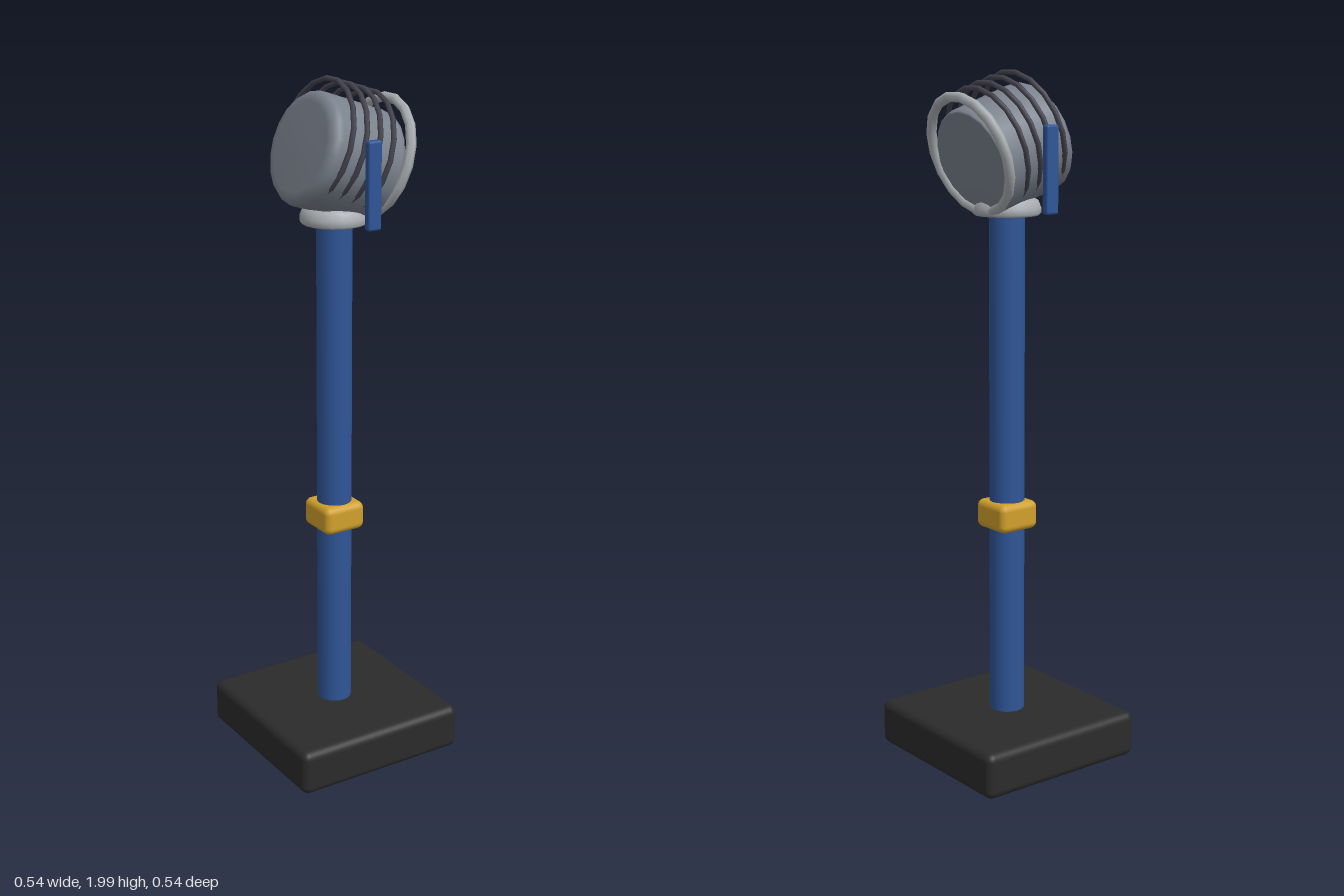
import * as THREE from 'three';
import { RoundedBoxGeometry } from 'three/addons/geometries/RoundedBoxGeometry.js';

const paint = (name, color) => {
  const m = new THREE.MeshStandardMaterial({ color });
  m.name = name;
  return m;
};

export function createModel() {
  const black = paint('matte black', 0x2b2b2b);
  const blue = paint('blue', 0x2f5597);
  const yellow = paint('yellow', 0xd0a02c);
  const grey = paint('housing grey', 0x79818c);
  const dark = paint('fin grey', 0x45444f);
  const light = paint('rim grey', 0xa9adb1);

  const model = new THREE.Group();
  model.name = 'spotlightOnPost';
  const add = (parent, name, geometry, material, x = 0, y = 0, z = 0) => {
    const mesh = new THREE.Mesh(geometry, material);
    mesh.name = name;
    mesh.position.set(x, y, z);
    parent.add(mesh);
    return mesh;
  };
  const box = (w, h, d, r) => new RoundedBoxGeometry(w, h, d, 3, r);
  const lathe = (points, sides) =>
    new THREE.LatheGeometry(points.map(([r, y]) => new THREE.Vector2(r, y)), sides);

  // Base, post and clamp
  add(model, 'base', box(0.54, 0.135, 0.54, 0.024), black, 0, 0.0675);
  add(model, 'post', new THREE.CylinderGeometry(0.051, 0.051, 1.46, 16), blue, 0, 0.865);
  add(model, 'clamp', box(0.132, 0.084, 0.132, 0.02), yellow, 0, 0.73);

  // Rounded swivel plate on top of the post
  add(model, 'swivelPlate', lathe([
    [0, 1.594], [0.09, 1.594], [0.096, 1.6], [0.096, 1.615],
    [0.088, 1.635], [0.07, 1.646], [0, 1.646],
  ], 20), light);

  // Yoke arms either side of the lamp
  for (const side of [-1, 1]) {
    add(model, side > 0 ? 'frontYokeArm' : 'backYokeArm',
      box(0.042, 0.24, 0.024, 0.007), blue, 0, 1.729, side * 0.192);
  }

  // Lamp head: local +x is the beam direction, tipped downwards
  const head = new THREE.Group();
  head.name = 'lampHead';
  head.position.set(0.007, 1.775, 0);
  head.rotation.z = -0.315;
  model.add(head);

  // Drum housing with a softened back and a flat lens end
  const drum = lathe([
    [0, -0.124], [0.125, -0.123], [0.146, -0.119], [0.157, -0.105], [0.158, -0.09],
    [0.155, 0.105], [0.152, 0.117], [0.147, 0.121], [0, 0.122],
  ], 20);
  drum.rotateZ(-Math.PI / 2);
  add(head, 'housing', drum, grey);

  // Cooling fins and rim are rings set slightly above the drum axis
  const ring = (radius, tube) => new THREE.TorusGeometry(radius, tube, 6, 18).rotateY(Math.PI / 2);
  for (let i = 0; i < 4; i++) {
    add(head, 'coolingFin', ring(0.17, 0.0075), dark, -0.078 + i * 0.0445, 0.027);
  }
  add(head, 'lensRim', ring(0.166, 0.0145), light, 0.118, 0.027);

  return model;
}
